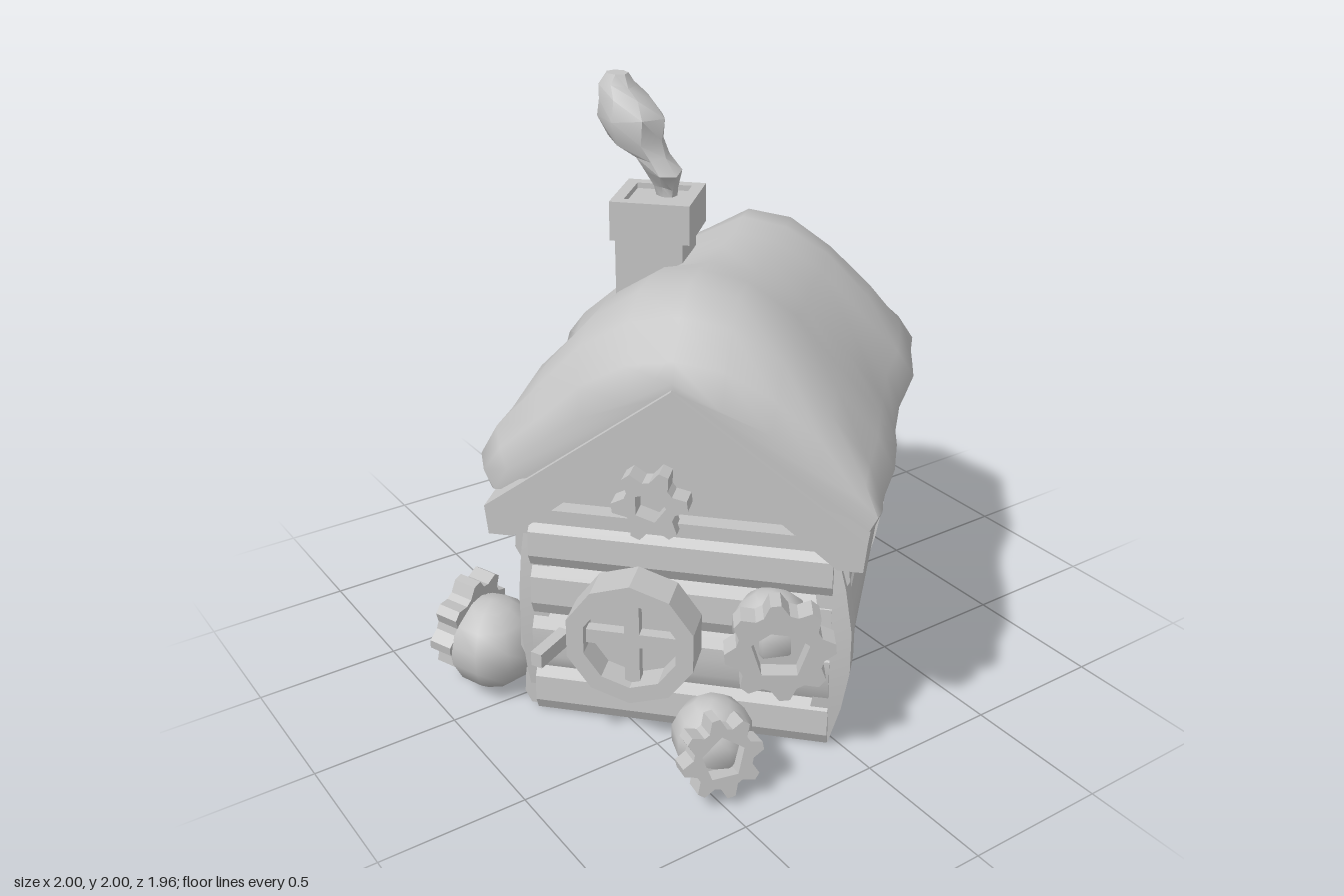
import * as THREE from 'three';
import { toCreasedNormals } from 'three/addons/utils/BufferGeometryUtils.js';

const clay = new THREE.MeshStandardMaterial({ color: 0xc4c4c4 });
clay.name = 'clay grey';
const V = (x, y, z) => new THREE.Vector3(x, y, z);

function add(parent, name, geometry, crease = 0.5) {
  const mesh = new THREE.Mesh(toCreasedNormals(geometry, crease), clay);
  mesh.name = name;
  parent.add(mesh);
  return mesh;
}

function box(parent, name, w, h, d, x, y, z) {
  const m = add(parent, name, new THREE.BoxGeometry(w, h, d));
  m.position.set(x, y, z);
  return m;
}

const polygon = (n, r, start = 0) => Array.from({ length: n }, (_, i) => {
  const a = start + (i / n) * Math.PI * 2;
  return new THREE.Vector2(Math.cos(a) * r, Math.sin(a) * r);
});

// Blunt-toothed outline
const toothed = (n, r, depth) => polygon(n * 4, 1).map((p, i) => p.multiplyScalar(i % 4 < 2 ? r : r - depth));

function extrude(outline, depth, hole) {
  const shape = new THREE.Shape(outline);
  if (hole) shape.holes.push(new THREE.Path(hole));
  return new THREE.ExtrudeGeometry(shape, { depth, bevelEnabled: false });
}

// Extrusion whose front looks along +x
const facingX = (outline, depth, hole) => extrude(outline, depth, hole).rotateY(Math.PI / 2);

// Closed skin over equal-sized cross-sections; capY sets the height the end caps fan out from
function loft(sections, capY) {
  const n = sections[0].length, m = sections.length, index = [];
  const points = sections.flat();
  for (let i = 0; i < m - 1; i++) for (let j = 0; j < n; j++) {
    const k = (j + 1) % n, a = i * n + j, c = i * n + k;
    index.push(a, c, a + n, a + n, c, c + n);
  }
  [0, m - 1].forEach((i, end) => {
    const centre = V(0, 0, 0);
    sections[i].forEach((p) => centre.addScaledVector(p, 1 / n));
    if (capY) centre.y = capY;
    points.push(centre);
    for (let j = 0; j < n; j++) {
      const a = i * n + j, b = i * n + (j + 1) % n;
      index.push(points.length - 1, end ? a : b, end ? b : a);
    }
  });
  const g = new THREE.BufferGeometry().setFromPoints(points);
  g.setIndex(index);
  return g;
}

// Round window with a cross, on a wall that faces +x
function roundWindow(wall, x, y, z, depth) {
  const g = new THREE.Group();
  g.name = 'roundWindow';
  g.position.set(x, y, z);
  wall.add(g);
  add(g, 'windowRing', facingX(polygon(10, 0.22, 0.3), depth, polygon(10, 0.16, 0.3)));
  add(g, 'windowPane', facingX(polygon(10, 0.17, 0.3), depth * 0.3));
  box(g, 'windowBarUpright', 0.04, 0.34, 0.05, depth * 0.6, 0, 0);
  box(g, 'windowBarLevel', 0.04, 0.05, 0.34, depth * 0.6, 0, 0);
}

// Door outline with an arched top
function archOutline(w, h, rise) {
  const pts = [new THREE.Vector2(-w, 0), new THREE.Vector2(w, 0)];
  for (let i = 0; i <= 6; i++) {
    const a = (i / 6) * Math.PI;
    pts.push(new THREE.Vector2(Math.cos(a) * w, h - rise + Math.sin(a) * rise));
  }
  return pts;
}

function buildWalls(cabin) {
  const core = [[-0.46, 0], [0.5, 0], [0.5, 0.78], [0, 1.2], [-0.46, 0.78]].map((p) => new THREE.Vector2(...p));
  add(cabin, 'houseCore', facingX(core, 1.18).translate(-0.58, 0, 0));
  const courses = [0.005, 0.185, 0.39, 0.58, 0.75];
  return [0, 1, 2, 3].map((k) => {
    const wall = new THREE.Group();
    wall.name = ['doorWall', 'leftWall', 'frontWall', 'backWall'][k];
    wall.rotation.y = -k * Math.PI / 2;
    cabin.add(wall);
    const dist = k % 2 ? 0.48 : 0.56, len = k % 2 ? 1.18 : 1.0;
    const notch = k === 0 ? 0.008 : 0.03; // the door wall is almost smooth
    // Bulging log courses; the left wall narrows towards the ground
    for (let i = 0; i < 4; i++) {
      const a = courses[i], h = courses[i + 1] - a, out = 0.06 + (i % 2) * 0.008;
      const profile = [[-0.02, 0], [out - notch / 3, 0], [out + 0.012, h * 0.25], [out + 0.005, h * 0.75], [out - notch, h], [-0.02, h]]
        .map(([x, y]) => new THREE.Vector2(x, y));
      const lean = k === 1 ? [-0.045, -0.015, 0, -0.01][i] : 0;
      add(wall, 'logCourse', extrude(profile, len).translate(dist + lean, a, -len / 2));
    }
    return wall;
  });
}

// Bowed corner posts
function buildPosts(cabin) {
  for (const [sx, sz, x, z, bend] of [[1, 1, 0.56, 0.45, 0.07], [1, -1, 0.565, 0.49, 0.03], [-1, 1, 0.55, 0.45, 0.07], [-1, -1, 0.53, 0.47, 0.03]]) {
    const g = new THREE.BoxGeometry(0.1, 0.76, 0.1, 1, 5, 1);
    const p = g.attributes.position;
    for (let i = 0; i < p.count; i++) {
      const bow = Math.cos(p.getY(i) * 4.1);
      p.setX(i, p.getX(i) + sx * bow * 0.03);
      p.setZ(i, p.getZ(i) + sz * bow * bend);
    }
    g.computeVertexNormals();
    add(cabin, 'cornerPost', g).position.set(sx * x, 0.38, sz * z);
  }
}

function buildRoof(cabin) {
  const board = [[0.61, 0.84], [0, 1.29], [-0.61, 0.84], [-0.6, 0.74], [-0.52, 0.74], [0, 1.16], [0.52, 0.74], [0.6, 0.74]]
    .map((p) => new THREE.Vector2(...p));
  add(cabin, 'roofBoards', facingX(board, 1.42).translate(-0.72, 0, 0));

  // Soft snow: one half profile, mirrored, swept along the ridge and kept above the boards
  const half = [[0.57, 0.84], [0.63, 0.87], [0.655, 0.95], [0.6, 1.06], [0.47, 1.21], [0.32, 1.37], [0.16, 1.47]];
  const under = [[0.4, 0.96], [0.2, 1.11], [0, 1.25], [-0.2, 1.11], [-0.4, 0.96]];
  const profile = [...half.map(([z, y]) => [-z, y]), [0, 1.5], ...half.slice().reverse()];
  // Position along ridge, width scale, height scale
  const stations = [[-0.7, 0.95, 0.62], [-0.67, 0.98, 0.8], [-0.58, 1, 0.97], [-0.45, 1, 1.05], [-0.28, 0.98, 1.04],
    [-0.1, 0.99, 0.98], [0.1, 0.97, 0.96], [0.3, 0.99, 0.94], [0.48, 1, 0.94], [0.62, 0.98, 0.92], [0.7, 0.94, 0.8], [0.73, 0.9, 0.62]];
  const sections = stations.map(([x, w, h], i) => {
    const top = profile.map(([z, y]) => {
      const edge = Math.max(0, 1 - Math.abs(y - 0.92) * 4);
      const ripple = Math.sin(i * 1.9 + Math.sign(z)) * 0.022 * edge;
      const wave = x > 0.6 ? 0.02 * Math.sin(z * 14) : 0;
      const sunk = z < 0 && x > 0 ? 0.91 : 1; // thinner snow beside the chimney
      const wide = z < 0 && Math.abs(x) > 0.6 ? w * 0.95 : w;
      const scaled = 0.84 + (y - 0.84) * h * sunk + ripple;
      return V(x + wave, Math.max(scaled, 1.31 - 0.73 * Math.abs(z * wide)), z * wide + Math.sign(z) * ripple * 0.8);
    });
    return [...top, ...under.map(([z, y]) => V(x, y, z))];
  });
  add(cabin, 'roofSnow', loft(sections, 1.28), 1.2);
}

function buildChimney(cabin) {
  const chimney = new THREE.Group();
  chimney.name = 'chimney';
  chimney.position.set(0.235, 0, -0.255);
  cabin.add(chimney);
  box(chimney, 'chimneyStack', 0.23, 0.52, 0.24, 0, 1.24, -0.01);
  const square = (r) => polygon(4, r, Math.PI / 4);
  const cap = extrude(square(0.2), 0.14, square(0.14)).rotateX(-Math.PI / 2);
  add(chimney, 'chimneyCap', cap.translate(0, 1.47, 0));
  box(chimney, 'chimneyFloor', 0.22, 0.03, 0.22, 0, 1.575, 0);
}

// Lumpy smoke plume: centre and radius of each ring
function buildSmoke(root) {
  const rings = [[0.1, 1.58, -0.32, 0.04], [0.1, 1.62, -0.33, 0.05], [0.08, 1.68, -0.32, 0.08], [0.06, 1.73, -0.36, 0.075],
    [0.04, 1.78, -0.42, 0.115], [0.035, 1.86, -0.44, 0.14], [0.03, 1.92, -0.47, 0.11], [0.02, 1.96, -0.51, 0.08], [0.015, 2, -0.5, 0.045]];
  add(root, 'smoke', loft(rings.map(([x, y, z, r], i) => Array.from({ length: 7 }, (_, j) => {
    const a = (j / 7) * Math.PI * 2 + i * 0.15;
    return V(x + Math.cos(a) * r * 0.82, y + Math.sin(a * 2 + i) * 0.008 * (i < 8), z - Math.sin(a) * r);
  }))), 0.7);
}

// Round bulb with a toothed collar at its mouth
function bulb(root, bulbPos, r, collarPos, dir, collarR) {
  const g = new THREE.Group();
  g.name = 'bulbPot';
  root.add(g);
  const body = add(g, 'bulbBody', new THREE.SphereGeometry(r, 9, 7), 1.2);
  body.position.set(...bulbPos);
  const collar = new THREE.Group();
  collar.name = 'bulbCollar';
  collar.position.set(...collarPos);
  collar.quaternion.setFromUnitVectors(V(0, 0, 1), V(...dir).normalize());
  g.add(collar);
  add(collar, 'collarTeeth', extrude(toothed(8, collarR, 0.035), 0.08, polygon(5, collarR * 0.55, 0.3)).translate(0, 0, -0.04));
  add(collar, 'collarFloor', extrude(polygon(8, collarR * 0.6), 0.03).translate(0, 0, -0.05));
}

export function createModel() {
  const root = new THREE.Group();
  root.name = 'snowyCabin';
  const cabin = new THREE.Group();
  cabin.name = 'cabin';
  cabin.position.set(0.06, 0, 0.04);
  cabin.rotation.y = 0.762;
  root.add(cabin);

  const [doorWall, , frontWall, backWall] = buildWalls(cabin);
  buildPosts(cabin);
  buildRoof(cabin);
  buildChimney(cabin);
  buildSmoke(root);

  // Gable beams
  for (const wall of [doorWall, frontWall]) box(wall, 'gableBeam', 0.09, 0.05, 1.04, 0.595, 0.775, 0);

  // Arched door with frame, wreath and handle
  const opening = archOutline(0.185, 0.64, 0.17).map((p) => p.setY(Math.max(p.y, 0.006)));
  add(doorWall, 'doorFrame', facingX(archOutline(0.26, 0.72, 0.22), 0.13, opening)).position.set(0.58, 0.005, -0.02);
  add(doorWall, 'doorPanel', facingX(archOutline(0.19, 0.65, 0.17), 0.05)).position.set(0.6, 0.005, -0.02);
  for (const z of [-0.13, 0, 0.13]) box(doorWall, 'doorPlank', 0.03, 0.54, 0.115, 0.65, 0.28, z - 0.02);
  add(doorWall, 'doorWreath', new THREE.TorusGeometry(0.1, 0.045, 5, 7).rotateY(Math.PI / 2)).position.set(0.69, 0.48, -0.02);
  add(doorWall, 'doorHandle', new THREE.ConeGeometry(0.04, 0.06, 3)).position.set(0.69, 0.25, -0.15);

  // Gable ornaments
  const leaves = polygon(14, 1, Math.PI / 2).map((p, i) => p.multiplyScalar(i % 2 ? 0.16 : 0.22).multiply(new THREE.Vector2(1.2, 0.75)));
  add(doorWall, 'gableLeaves', facingX(leaves, 0.06, polygon(4, 0.055))).position.set(0.6, 0.93, -0.03);
  add(frontWall, 'gableFlower', facingX(toothed(6, 0.125, 0.04), 0.07, polygon(5, 0.055))).position.set(0.61, 0.87, 0.08);

  // Windows
  roundWindow(frontWall, 0.66, 0.42, 0.125, 0.13);
  roundWindow(backWall, 0.53, 0.38, 0, 0.07);
  const bar = box(root, 'windowLatch', 0.16, 0.05, 0.04, -0.8, 0.41, 0.345);
  bar.rotation.y = 0.45;

  // Toothed bulbs around the house
  bulb(root, [-0.78, 0.18, -0.11], 0.165, [-0.82, 0.23, -0.22], [-0.5, 0.15, -0.86], 0.175);
  bulb(root, [-0.14, 0.17, -0.73], 0.15, [-0.12, 0.21, -0.87], [-0.4, 0.1, -0.9], 0.165);
  bulb(root, [-0.43, 0.145, 0.72], 0.135, [-0.48, 0.16, 0.83], [-0.25, 0.2, 0.95], 0.135);
  bulb(root, [-0.2, 0.47, 0.72], 0.13, [-0.26, 0.48, 0.84], [-0.55, 0, 0.83], 0.175);
  return root;
}
